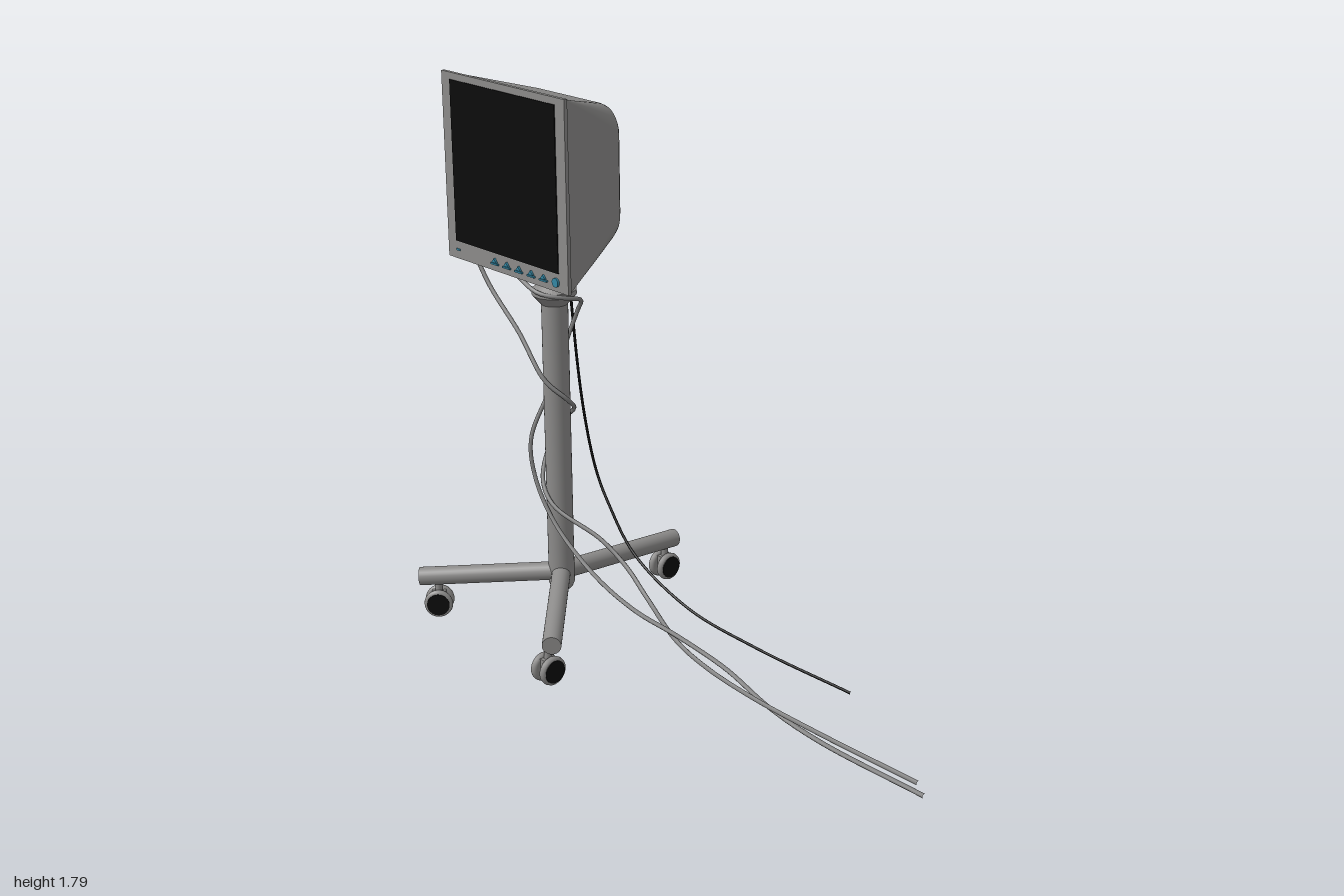
import * as THREE from 'three';

const V = (x, y, z) => new THREE.Vector3(x, y, z);
const PX = -0.615, PZ = 0.065; // pole axis

const mat = (name, color, side = THREE.FrontSide) =>
  Object.assign(new THREE.MeshStandardMaterial({ color, side }), { name });

export function createModel() {
  const grey = mat('greyPlastic', 0x8c8b8a);
  const cableGrey = mat('cableGrey', 0x808080);
  const black = mat('black', 0x0c0c0c);
  const blue = mat('buttonBlue', 0x3487a4);

  const model = new THREE.Group();
  model.name = 'monitorOnStand';

  const add = (name, geo, material, x = 0, y = 0, z = 0, parent = model) => {
    const m = new THREE.Mesh(geo, material);
    m.name = name;
    m.position.set(x, y, z);
    parent.add(m);
    return m;
  };

  // Cylinder between two points
  const rod = (name, a, b, r, material = grey, parent = model) => {
    const d = b.clone().sub(a);
    const m = add(name, new THREE.CylinderGeometry(r, r, d.length(), 28), material, 0, 0, 0, parent);
    m.position.copy(a).lerp(b, 0.5);
    m.quaternion.setFromUnitVectors(V(0, 1, 0), d.normalize());
    return m;
  };

  // Square section with rounded corners, counter-clockwise
  const section = (h, r, cy, z) => {
    const pts = [];
    for (let c = 0; c < 4; c++) {
      const sx = c === 0 || c === 3 ? 1 : -1, sy = c < 2 ? 1 : -1;
      for (let i = 0; i <= 8; i++) {
        const t = (c + i / 8) * Math.PI / 2;
        pts.push(sx * (h - r) + r * Math.cos(t), cy + sy * (h - r) + r * Math.sin(t), z);
      }
    }
    return pts;
  };

  // Monitor housing: sharp-cornered at the front, softening to a rounded back
  const profile = [
    [0.236, 0.289, 0.003], [0.17, 0.268, 0.018], [0.1, 0.247, 0.037], [0.04, 0.229, 0.055],
    [-0.01, 0.214, 0.07], [-0.032, 0.204, 0.072], [-0.047, 0.189, 0.068],
    [-0.055, 0.17, 0.058], [-0.057, 0.15, 0.045], [-0.057, 0.001, 0.0005],
  ];
  const pos = [], idx = [], N = 36;
  profile.forEach(([z, h, r], k) => {
    pos.push(...section(h, r, 1.5 + (0.236 - z) * 0.03, z));
    if (!k) return;
    for (let j = 0; j < N; j++) {
      const a = (k - 1) * N + j, b = (k - 1) * N + (j + 1) % N;
      idx.push(a, a + N, b, b, a + N, b + N);
    }
  });
  const shell = new THREE.BufferGeometry();
  shell.setAttribute('position', new THREE.Float32BufferAttribute(pos, 3));
  shell.setIndex(idx);
  shell.computeVertexNormals();
  add('monitorHousing', shell, grey, PX, 0, 0);
  add('bezel', new THREE.BoxGeometry(0.582, 0.582, 0.012), grey, PX, 1.5, 0.24);
  add('screen', new THREE.BoxGeometry(0.497, 0.503, 0.004), black, PX, 1.518, 0.247);

  // Control buttons
  const half = new THREE.CylinderGeometry(0.015, 0.015, 0.008, 20, 1, false, Math.PI / 2, Math.PI);
  half.rotateX(Math.PI / 2);
  const bar = new THREE.BoxGeometry(0.034, 0.005, 0.008);
  for (let i = 0; i < 5; i++) {
    const x = -0.67 + i * 0.0585;
    add('buttonBase', bar, blue, x, 1.232, 0.249);
    const cap = new THREE.CylinderGeometry(0.013, 0.013, 0.008, 3);
    cap.rotateX(Math.PI / 2).rotateZ(Math.PI).scale(1, 0.7, 1);
    add('buttonArrow', cap, blue, x, 1.241, 0.249);
  }
  const knob = new THREE.CylinderGeometry(0.014, 0.014, 0.008, 24).rotateX(Math.PI / 2);
  add('powerButton', knob, blue, -0.378, 1.238, 0.249);
  add('indicator', new THREE.BoxGeometry(0.018, 0.006, 0.004), blue, -0.855, 1.238, 0.247);

  // Pole and collar
  rod('pole', V(PX, 0.13, PZ), V(PX, 1.1, PZ), 0.042);
  const collar = [[0.042, 1.08], [0.07, 1.112], [0.07, 1.128], [0.045, 1.145], [0.036, 1.15], [0.036, 1.19], [0, 1.19]]
    .map(([r, y]) => new THREE.Vector2(r, y));
  const collarGeo = new THREE.LatheGeometry(collar, 32).toNonIndexed();
  collarGeo.computeVertexNormals();
  add('collar', collarGeo, grey, PX, 0, PZ);

  // Tilting neck under the housing
  const neck = new THREE.Group();
  neck.name = 'neckBracket';
  neck.position.set(PX, 1.215, 0.09);
  neck.rotation.x = 0.33;
  model.add(neck);
  add('mountPlate', new THREE.BoxGeometry(0.17, 0.014, 0.12), grey, 0, 0.035, 0, neck);
  add('stalk', new THREE.BoxGeometry(0.05, 0.1, 0.045), grey, 0, -0.01, -0.005, neck);
  for (const s of [-1, 1])
    add('bracketCheek', new THREE.BoxGeometry(0.045, 0.06, 0.06), grey, s * 0.056, 0.005, 0, neck);
  rod('hingePin', V(-0.075, -0.005, 0), V(0.075, -0.005, 0), 0.014, grey, neck);

  // Twin-wheel caster
  const tread = [[0.012, -0.012], [0.037, -0.012], [0.045, -0.008], [0.047, 0], [0.045, 0.008], [0.037, 0.012], [0.012, 0.012]]
    .map(([r, y]) => new THREE.Vector2(r, y));
  const wheelGeo = new THREE.LatheGeometry(tread, 32).rotateZ(Math.PI / 2);
  const discGeo = new THREE.CylinderGeometry(0.037, 0.037, 0.004, 32).rotateZ(Math.PI / 2);
  const caster = (x, z, turn) => {
    const g = new THREE.Group();
    g.name = 'caster';
    g.position.set(x, 0.047, z);
    g.rotation.y = turn;
    model.add(g);
    for (const s of [-1, 1]) {
      add('wheel', wheelGeo, grey, s * 0.021, 0, 0, g);
      add('wheelDisc', discGeo, black, s * 0.033, 0, 0, g);
    }
    add('casterBody', new THREE.BoxGeometry(0.024, 0.032, 0.045), grey, 0, 0.02, 0, g);
    rod('casterStem', V(0, 0.02, 0), V(0, 0.085, 0), 0.012, grey, g);
  };

  // Three sloping legs and their casters
  const legs = [
    { end: V(PX, 0.133, -0.43), c: [PX, -0.385, 0] },
    { end: V(-0.272, 0.133, 0.388), c: [-0.295, 0.385, 0] },
    { end: V(-0.955, 0.133, 0.385), c: [-0.91, 0.345, -0.75] },
  ];
  for (const { end, c } of legs) {
    rod('leg', V(PX, 0.168, PZ), end, 0.03);
    caster(...c);
  }
  add('hub', new THREE.SphereGeometry(0.043, 24, 12), grey, PX, 0.14, PZ);

  // Cables
  const cable = (name, pts, r, material) =>
    add(name, new THREE.TubeGeometry(
      new THREE.CatmullRomCurve3(pts.map(p => V(...p))), 180, r, 8), material);

  cable('outerCable', [
    [-0.86, 1.652, 0.12], [-0.92, 1.652, 0.12], [-0.975, 1.6, 0.125], [-0.993, 1.48, 0.13],
    [-0.962, 1.29, 0.14], [-0.87, 1.12, 0.135], [-0.72, 0.97, 0.125], [-0.605, 0.84, 0.12],
    [-0.556, 0.775, 0.068], [-0.6, 0.72, 0.01], [-0.665, 0.665, 0.005], [-0.685, 0.59, 0.04],
    [-0.655, 0.49, 0.1], [-0.585, 0.425, 0.118], [-0.42, 0.34, 0.06], [-0.32, 0.275, 0.043],
    [-0.2, 0.21, 0.06], [0, 0.158, 0.12], [0.15, 0.13, 0.136], [0.35, 0.11, 0.14],
    [0.6, 0.1, 0.137], [0.985, 0.095, 0.13],
  ], 0.007, cableGrey);
  cable('innerCable', [
    [-0.86, 1.615, 0.13], [-0.91, 1.61, 0.13], [-0.945, 1.57, 0.13], [-0.957, 1.49, 0.13],
    [-0.92, 1.36, 0.135], [-0.835, 1.235, 0.138], [-0.71, 1.165, 0.135], [-0.6, 1.13, 0.137],
    [-0.545, 1.115, 0.08], [-0.56, 1.09, 0.005], [-0.605, 1.04, -0.018], [-0.63, 0.94, 0.008],
    [-0.65, 0.85, 0.02], [-0.675, 0.75, 0.06], [-0.69, 0.62, 0.115], [-0.67, 0.5, 0.12],
    [-0.58, 0.37, 0.12], [-0.39, 0.25, 0.12], [-0.2, 0.193, 0.12], [0.01, 0.175, 0.12],
    [0.22, 0.145, 0.12], [0.4, 0.09, 0.12], [0.6, 0.062, 0.12], [1, 0.057, 0.12],
  ], 0.007, cableGrey);
  for (const [y, z] of [[1.652, 0.12], [1.615, 0.13]])
    rod('cablePlug', V(-0.85, y, z), V(-0.895, y, z), 0.013);
  cable('powerCord', [
    [-0.73, 1.37, -0.05], [-0.73, 1.372, -0.08], [-0.735, 1.35, -0.103], [-0.732, 1.28, -0.11],
    [-0.73, 1.15, -0.092], [-0.73, 0.92, -0.105], [-0.735, 0.62, -0.145], [-0.695, 0.43, -0.158],
    [-0.63, 0.33, -0.155], [-0.51, 0.195, -0.155], [-0.255, 0.09, -0.155], [0.065, 0.062, -0.155],
    [0.47, 0.062, -0.155],
  ], 0.0045, black);

  return model;
}
